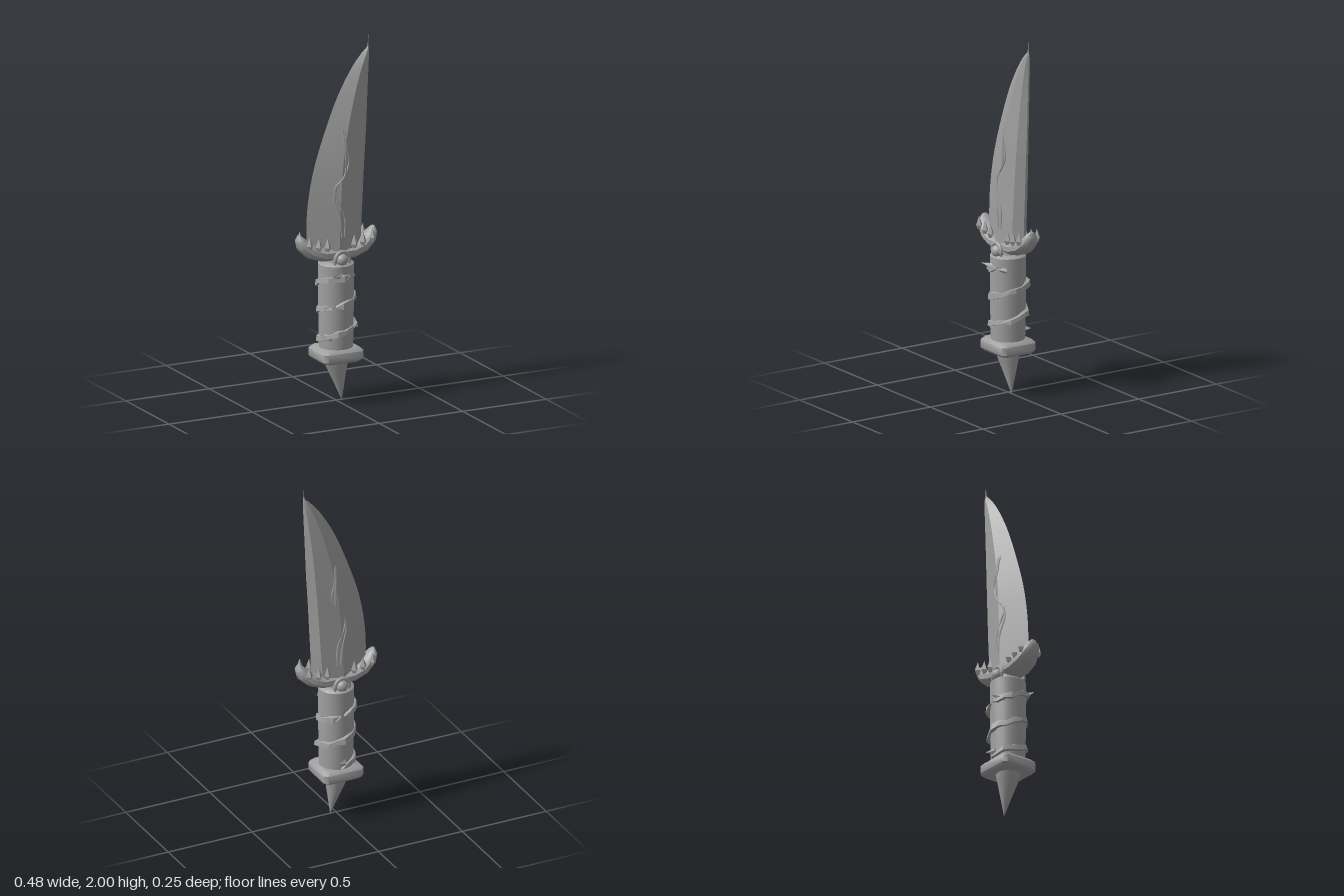
import * as THREE from 'three';
import { toCreasedNormals } from 'three/addons/utils/BufferGeometryUtils.js';

// Closed skin through equal-length rings of points, with capped ends
function loft(rings, crease = 0.45) {
  const n = rings[0].length, pos = [];
  const tri = (a, b, c) => pos.push(...a, ...b, ...c);
  for (let i = 0; i < rings.length - 1; i++) {
    for (let j = 0; j < n; j++) {
      const k = (j + 1) % n, r = rings[i], s = rings[i + 1];
      tri(r[j], r[k], s[k]);
      tri(r[j], s[k], s[j]);
    }
  }
  const end = rings[rings.length - 1];
  for (let j = 1; j < n - 1; j++) {
    tri(rings[0][0], rings[0][j + 1], rings[0][j]);
    tri(end[0], end[j], end[j + 1]);
  }
  // Turn the faces outward when the enclosed volume is negative
  let volume = 0;
  for (let i = 0; i < pos.length; i += 9) {
    const [a, b, c] = [0, 3, 6].map(o => new THREE.Vector3(...pos.slice(i + o, i + o + 3)));
    volume += a.dot(b.cross(c));
  }
  if (volume < 0) {
    for (let i = 0; i < pos.length; i += 9) {
      for (let o = 3; o < 6; o++) [pos[i + o], pos[i + o + 3]] = [pos[i + o + 3], pos[i + o]];
    }
  }
  const g = new THREE.BufferGeometry();
  g.setAttribute('position', new THREE.Float32BufferAttribute(pos, 3));
  return toCreasedNormals(g, crease);
}

// Blade stations: y, cutting edge x, ridge x, bevel x, spine x, half thickness
const BLADE = [
  [0.84, -0.175, -0.012, 0.1, 0.146, 0.066],
  [1.0, -0.177, -0.008, 0.112, 0.153, 0.064],
  [1.13, -0.166, 0, 0.12, 0.16, 0.062],
  [1.29, -0.135, 0.012, 0.13, 0.168, 0.058],
  [1.47, -0.077, 0.04, 0.143, 0.179, 0.051],
  [1.685, 0.01, 0.092, 0.163, 0.188, 0.038],
  [1.84, 0.1, 0.145, 0.182, 0.195, 0.024],
  [1.915, 0.163, 0.182, 0.193, 0.198, 0.011],
  [1.935, 0.185, 0.189, 0.193, 0.196, 0.004],
  [2.0, 0.193, 0.1932, 0.1934, 0.1936, 0.0003],
];
const BEVEL = 0.7;
const bladeCurves = [1, 2, 3, 4, 5].map(k =>
  new THREE.CatmullRomCurve3(BLADE.map(s => new THREE.Vector3(s[k], s[0], 0)), false, 'centripetal'));

// Half thickness of the blade at a point on its side
function bladeZ(x, y) {
  let i = 0;
  while (i < BLADE.length - 2 && BLADE[i + 1][0] < y) i++;
  const a = BLADE[i], b = BLADE[i + 1], f = (y - a[0]) / (b[0] - a[0]);
  const [, edge, ridge, bevel, , t] = a.map((v, k) => v + (b[k] - v) * f);
  return x < ridge ? t * (x - edge) / (ridge - edge)
    : t * (1 - (1 - BEVEL) * (x - ridge) / (bevel - ridge));
}

export function createModel() {
  const group = new THREE.Group();
  group.name = 'dagger';
  const grey = new THREE.MeshStandardMaterial({ color: 0xa0a0a0 });
  grey.name = 'grey';
  const add = (name, geometry, x = 0, y = 0, z = 0) => {
    const m = new THREE.Mesh(geometry, grey);
    m.name = name;
    m.position.set(x, y, z);
    group.add(m);
    return m;
  };

  // Blade with a central ridge and a bevelled spine
  const steps = 36;
  add('blade', loft(Array.from({ length: steps + 1 }, (_, i) => {
    const p = bladeCurves.map(c => c.getPoint(i / steps));
    const [e, r, b, s, t] = p.map(v => v.x), y = p[0].y;
    return [[e, y, 0], [r, y, t], [b, y, t * BEVEL], [s, y, 0], [b, y, -t * BEVEL], [r, y, -t]];
  }), 0.3));

  // Two intertwined raised vines on each side of the blade
  const vines = [
    [[0.004, 0.92], [-0.01, 1.04], [-0.035, 1.13], [-0.02, 1.2], [0.024, 1.26], [0.032, 1.33], [0.026, 1.42], [0.022, 1.51]],
    [[0.022, 0.92], [0.02, 1.03], [-0.016, 1.12], [-0.03, 1.19], [0.012, 1.24], [0.052, 1.33], [0.036, 1.41], [0.03, 1.5]],
  ];
  for (const side of [1, -1]) for (const v of vines) {
    const curve = new THREE.CatmullRomCurve3(v.map(([x, y]) =>
      new THREE.Vector3(x, y, side * bladeZ(x, y))));
    add('bladeVine', new THREE.TubeGeometry(curve, 40, 0.0055, 5));
  }

  // Crescent guard: x, y, half height, half depth
  const half = [
    [0, 0.825, 0.042, 0.071], [0.09, 0.826, 0.042, 0.07], [0.155, 0.848, 0.041, 0.063],
    [0.2, 0.885, 0.036, 0.05], [0.218, 0.92, 0.024, 0.035], [0.222, 0.943, 0.007, 0.012],
  ];
  const stations = [...half.slice(1).reverse().map(([x, ...r]) => [-x, ...r]), ...half];
  add('guard', loft(stations.map(([x, y, h, d], i) => {
    const a = stations[Math.max(i - 1, 0)], b = stations[Math.min(i + 1, stations.length - 1)];
    const dir = new THREE.Vector2(b[0] - a[0], b[1] - a[1]).normalize();
    return Array.from({ length: 10 }, (_, j) => {
      const w = j / 10 * Math.PI * 2, u = Math.cos(w) * h;
      return [x - dir.y * u, y + dir.x * u, Math.sin(w) * d];
    });
  }), 0.7));

  // Rows of four-sided thorns along the guard
  const thornProfile = [[0, 0], [0.01, 0], [0.02, 0.022], [0, 0.075]].map(p => new THREE.Vector2(...p));
  const thornGeometry = toCreasedNormals(new THREE.LatheGeometry(thornProfile, 4), 0.3);
  for (const sx of [1, -1]) for (const sz of [1, -1]) {
    for (const [x, y] of [[0.08, 0.85], [0.132, 0.858], [0.188, 0.872]]) {
      add('guardThorn', thornGeometry, sx * x, y, sz * 0.058);
    }
  }

  // Domed stone under a small arch on both faces
  for (const side of [1, -1]) {
    add('stone', new THREE.SphereGeometry(0.034, 16, 12), 0, 0.798, side * 0.068);
    const arch = add('stoneArch', new THREE.TorusGeometry(0.042, 0.011, 8, 20, Math.PI), 0, 0.795, side * 0.072);
    arch.scale.y = 1.1;
    for (const sx of [1, -1]) {
      const foot = add('archFoot', new THREE.ConeGeometry(0.012, 0.04, 6), sx * 0.042, 0.777, side * 0.072);
      foot.rotation.x = Math.PI;
    }
  }

  // Grip
  const grip = [[0, 0.29], [0.09, 0.29], [0.093, 0.34], [0.097, 0.6], [0.097, 0.765], [0.085, 0.775], [0.066, 0.78], [0.06, 0.83], [0, 0.83]];
  add('grip', toCreasedNormals(new THREE.LatheGeometry(grip.map(p => new THREE.Vector2(...p)), 20), 0.6));

  // Ragged strip winding up the grip
  let seed = 11;
  const rand = () => (seed = (seed * 16807) % 2147483647) / 2147483647;
  const wraps = [[-3.3, 0.9], [0.7, 5.6], [5.8, 9.2], [9.4, 12.9]];
  for (const [from, to] of wraps) {
    const count = Math.ceil((to - from) / 0.42);
    add('gripWrap', loft(Array.from({ length: count + 1 }, (_, i) => {
      const a = from + (to - from) * i / count, tip = i === 0 || i === count;
      const y = 0.4 + 0.155 * a / (Math.PI * 2) + (rand() - 0.5) * 0.014;
      const h = tip ? 0.003 : 0.012 + rand() * 0.012;
      const out = tip ? 0.108 : 0.103 + rand() * 0.017;
      const at = (r, dy) => [Math.sin(a) * r, y + dy, Math.cos(a) * r];
      return [at(0.088, -h), at(out, -h * 0.8), at(out - 0.004, h * 0.7), at(0.088, h)];
    }), 0.5));
  }

  // Loose pointed scraps standing off the strip: angle, height, reach
  for (const [a, y, reach] of [[-0.6, 0.71, 0.14], [0.35, 0.7, 0.115], [3.35, 0.64, 0.128], [1.9, 0.61, 0.12], [2.7, 0.34, 0.12], [-1.3, 0.37, 0.112]]) {
    const at = (da, r, dy) => [Math.sin(a + da) * r, y + dy, Math.cos(a + da) * r];
    add('wrapScrap', loft([
      [at(-0.02, reach, 0.012), at(0, reach, 0.01), at(0.01, reach, 0.014)],
      [at(0.55, 0.092, -0.02), at(0.55, 0.105, 0), at(0.55, 0.092, 0.022)],
    ], 0.2));
  }

  // Chamfered square collar: y, inset
  const collar = [[0.23, 0.016], [0.246, 0], [0.288, 0], [0.304, 0.016]];
  add('pommelCollar', loft(collar.map(([y, inset]) => {
    const x = 0.12 - inset, z = 0.11 - inset, c = 0.022;
    return [[x, y, z - c], [x - c, y, z], [c - x, y, z], [-x, y, z - c],
      [-x, y, c - z], [c - x, y, -z], [x - c, y, -z], [x, y, c - z]];
  }), 0.8));

  // Pommel spike leaning toward one side at its tip
  const spike = [[0.24, 0.07, -0.003], [0.18, 0.053, 0.004], [0.1, 0.029, 0.018], [0.003, 0.001, 0.034]];
  add('pommelSpike', loft(spike.map(([y, r, x]) => Array.from({ length: 14 }, (_, j) => {
    const w = j / 14 * Math.PI * 2;
    return [x + Math.cos(w) * r, y, Math.sin(w) * r];
  })), 0.6));

  return group;
}
